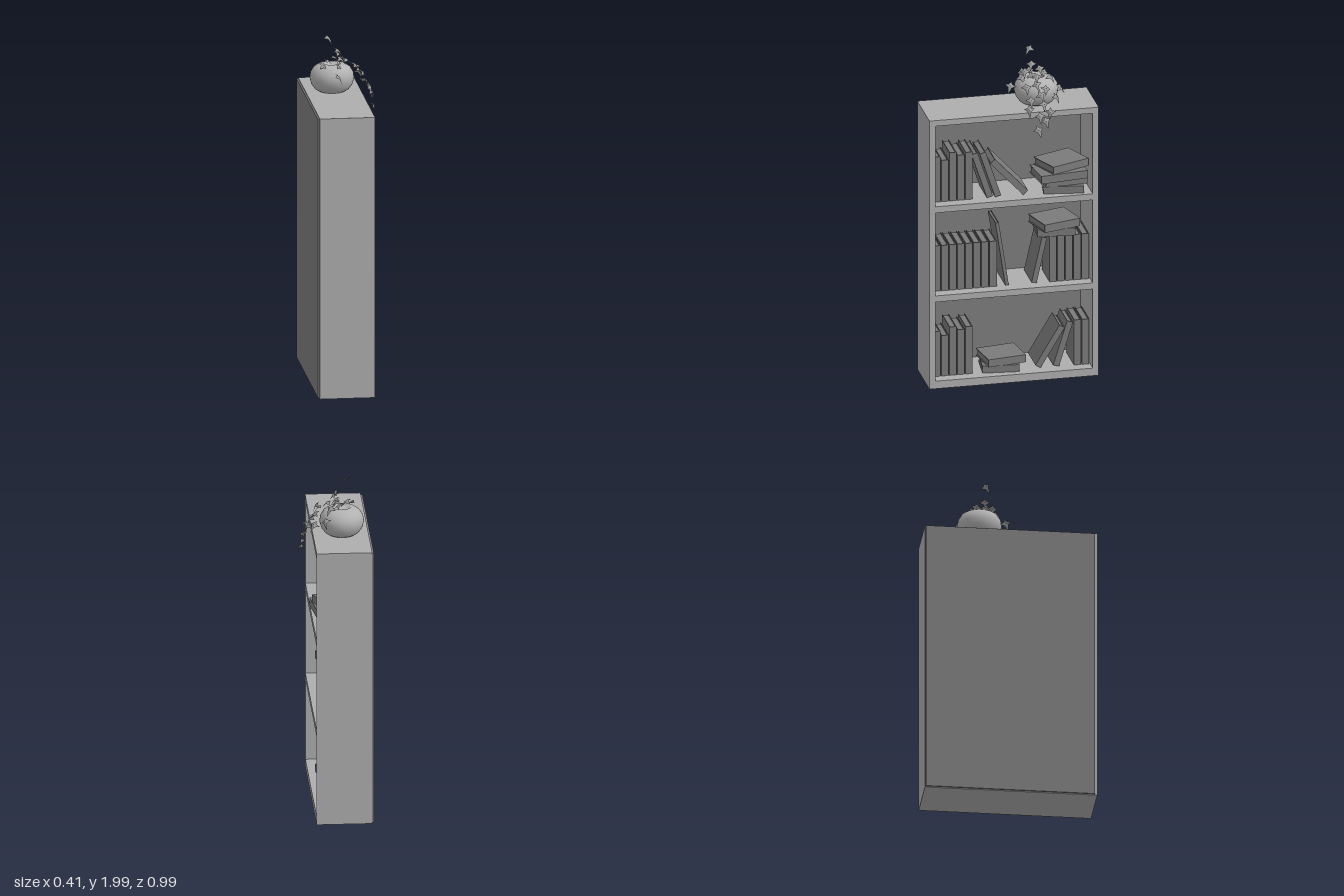
import * as THREE from 'three';

const mat = (color, options) => new THREE.MeshStandardMaterial({ color, ...options });
const frameMat = mat(0xadadad);
const backMat = mat(0x7d7d7d);
const bookMat = mat(0x7a7a7a);
const vaseMat = mat(0xb2b2b2, { side: THREE.DoubleSide });
const leafMat = mat(0x989898, { flatShading: true, side: THREE.DoubleSide });

function box(name, material, w, h, d, x, y, z) {
  const m = new THREE.Mesh(new THREE.BoxGeometry(w, h, d), material);
  m.name = name;
  m.position.set(x, y, z);
  return m;
}

// Book: spine on +x, height along y, thickness along z
function book(depth, h, t) {
  const g = new THREE.Group(), c = Math.min(0.005, t * 0.2), inset = 0.006;
  g.name = 'book';
  for (const s of [-1, 1]) g.add(box('cover', bookMat, depth, h, c, 0, 0, s * (t - c) / 2));
  g.add(box('spine', bookMat, c, h, t - 2 * c, (depth - c) / 2, 0, 0));
  g.add(box('pages', bookMat, depth - c - inset, h - 2 * inset, t - 2 * c, (inset - c) / 2, 0, 0));
  return g;
}

const DEPTH = 0.2, ROW_X = -0.05;

// Book standing on its lowest corner (y, z); a positive angle leans it toward +z
function leaning(y, z, h, t, angle) {
  const b = book(DEPTH, h, t), s = Math.sign(angle);
  b.rotation.x = angle;
  b.position.set(0, h / 2, -s * t / 2).applyEuler(b.rotation).add(new THREE.Vector3(ROW_X, y, z));
  return b;
}

// Book lying flat, turned about the vertical
function lying(y, t, x, z, length, turn) {
  const b = book(DEPTH, length, t);
  b.rotation.set(Math.PI / 2, turn, 0, 'YXZ');
  b.position.set(x, y + t / 2, z);
  return b;
}

// Upright books side by side from z toward -z
function row(group, y, z, heights) {
  const pitch = 0.0472;
  heights.forEach((h, i) => group.add(leaning(y, z - pitch * (i + 0.5), h, pitch - 0.005, 0)));
}

function bookcase() {
  const g = new THREE.Group();
  g.name = 'bookcase';
  const rect = (P, w, y0, y1) => {
    const p = new P();
    p.moveTo(-w, y0); p.lineTo(w, y0); p.lineTo(w, y1); p.lineTo(-w, y1); p.closePath();
    return p;
  };
  const shape = rect(THREE.Shape, 0.497, 0, 1.655);
  for (const [a, b] of [[0.047, 0.535], [0.573, 1.085], [1.123, 1.62]])
    shape.holes.push(rect(THREE.Path, 0.462, a, b));
  const frame = new THREE.Mesh(new THREE.ExtrudeGeometry(shape, { depth: 0.319, bevelEnabled: false }), frameMat);
  frame.name = 'frame';
  frame.rotation.y = Math.PI / 2;
  frame.position.x = -0.199;
  g.add(frame, box('backPanel', backMat, 0.011, 1.645, 0.975, -0.2035, 0.8275, -0.005));
  return g;
}

function books() {
  const g = new THREE.Group();
  g.name = 'books';
  // bottom shelf
  let y = 0.047;
  row(g, y, 0.461, [0.278, 0.25, 0.298, 0.278, 0.292]);
  row(g, y, -0.365, [0.278, 0.278]);
  g.add(leaning(y, -0.172, 0.275, 0.036, -0.54), leaning(y, -0.28, 0.278, 0.036, -0.3));
  g.add(lying(y, 0.043, -0.03, 0.055, 0.215, -0.1), lying(0.091, 0.046, -0.03, 0.043, 0.23, 0.15));
  // middle shelf
  y = 0.573;
  row(g, y, 0.461, Array(8).fill(0.28));
  row(g, y, -0.221, Array(5).fill(0.28));
  g.add(leaning(y, 0.035, 0.395, 0.02, 0.15), leaning(y, -0.148, 0.28, 0.03, -0.22));
  g.add(lying(0.855, 0.045, -0.04, -0.27, 0.22, -0.07), lying(0.901, 0.048, -0.02, -0.267, 0.23, 0.28));
  // top shelf
  y = 1.123;
  row(g, y, 0.461, [0.278, 0.255, 0.298, 0.278, 0.292]);
  g.add(leaning(y, 0.143, 0.288, 0.036, 0.32), leaning(y, 0.095, 0.288, 0.036, 0.32),
    leaning(y, -0.07, 0.285, 0.038, 0.75));
  g.add(lying(y, 0.044, -0.02, -0.315, 0.232, -0.15), lying(1.168, 0.046, -0.03, -0.315, 0.245, 0.05),
    lying(1.215, 0.048, 0.02, -0.285, 0.285, 0.13), lying(1.264, 0.046, -0.012, -0.305, 0.245, 0.4));
  return g;
}

// Squat round vase with a small, shallow mouth
function vase() {
  const pts = [[0, 0], [0.075, 0], [0.098, 0.014], [0.118, 0.042], [0.128, 0.078], [0.123, 0.11],
    [0.106, 0.138], [0.08, 0.156], [0.05, 0.163], [0.045, 0.156], [0.03, 0.148], [0, 0.145]];
  const m = new THREE.Mesh(new THREE.LatheGeometry(pts.map(p => new THREE.Vector2(...p)), 40), vaseMat);
  m.name = 'vase';
  m.position.set(-0.046, 1.655, -0.166);
  return m;
}

// Pointed ivy leaf: four-pointed star, folded along its middle
function leafGeometry() {
  const rim = [[0, -0.046, -0.01], [0.011, -0.01, 0], [0.031, 0.008, -0.012], [0.01, 0.013, 0],
    [0, 0.03, -0.006], [-0.01, 0.013, 0], [-0.031, 0.008, -0.012], [-0.011, -0.01, 0]];
  const pos = [];
  rim.forEach((p, i) => pos.push(0, 0, 0.006, ...p, ...rim[(i + 1) % rim.length]));
  const geo = new THREE.BufferGeometry();
  geo.setAttribute('position', new THREE.Float32BufferAttribute(pos, 3));
  geo.computeVertexNormals();
  return geo;
}

function foliage() {
  const g = new THREE.Group(), geo = leafGeometry();
  g.name = 'foliage';
  let seed = 7;
  const rnd = () => (seed = (seed * 16807) % 2147483647) / 2147483647 - 0.5;
  const spots = [
    // rising sprig
    [-0.07, 1.975, -0.13], [-0.015, 1.9, -0.13], [-0.01, 1.87, -0.18], [-0.005, 1.86, -0.09],
    // around the mouth
    [-0.075, 1.84, -0.135], [-0.025, 1.84, -0.205], [-0.015, 1.83, -0.135], [0.025, 1.83, -0.235],
    [0.035, 1.84, -0.15], [-0.105, 1.82, -0.095], [-0.02, 1.82, -0.075],
    // spilling to both sides
    [-0.025, 1.77, -0.01], [0.055, 1.77, -0.285], [0.085, 1.81, -0.14], [0.095, 1.8, -0.08],
    // trailing over the front edge
    [0.11, 1.79, -0.19], [0.12, 1.74, -0.25], [0.13, 1.76, -0.155], [0.125, 1.73, -0.1], [0.15, 1.71, -0.17],
    [0.165, 1.69, -0.08], [0.175, 1.67, -0.2], [0.18, 1.65, -0.14], [0.185, 1.62, -0.175], [0.19, 1.57, -0.13],
  ];
  for (const [x, y, z] of spots) {
    const leaf = new THREE.Mesh(geo, leafMat);
    leaf.name = 'leaf';
    leaf.position.set(x, y, z);
    // face outward, the higher ones more upward, tip hanging
    const rise = 0.15 + (y - 1.57) * 3.2 + rnd() * 0.7;
    leaf.lookAt(x + 0.8, y + rise, z + (z + 0.15) * 4 + rnd() * 1.1);
    leaf.rotateZ(rnd() * 1.2);
    g.add(leaf);
  }
  return g;
}

export function createModel() {
  const model = new THREE.Group();
  model.name = 'bookcaseWithPlant';
  model.add(bookcase(), books(), vase(), foliage());
  return model;
}
